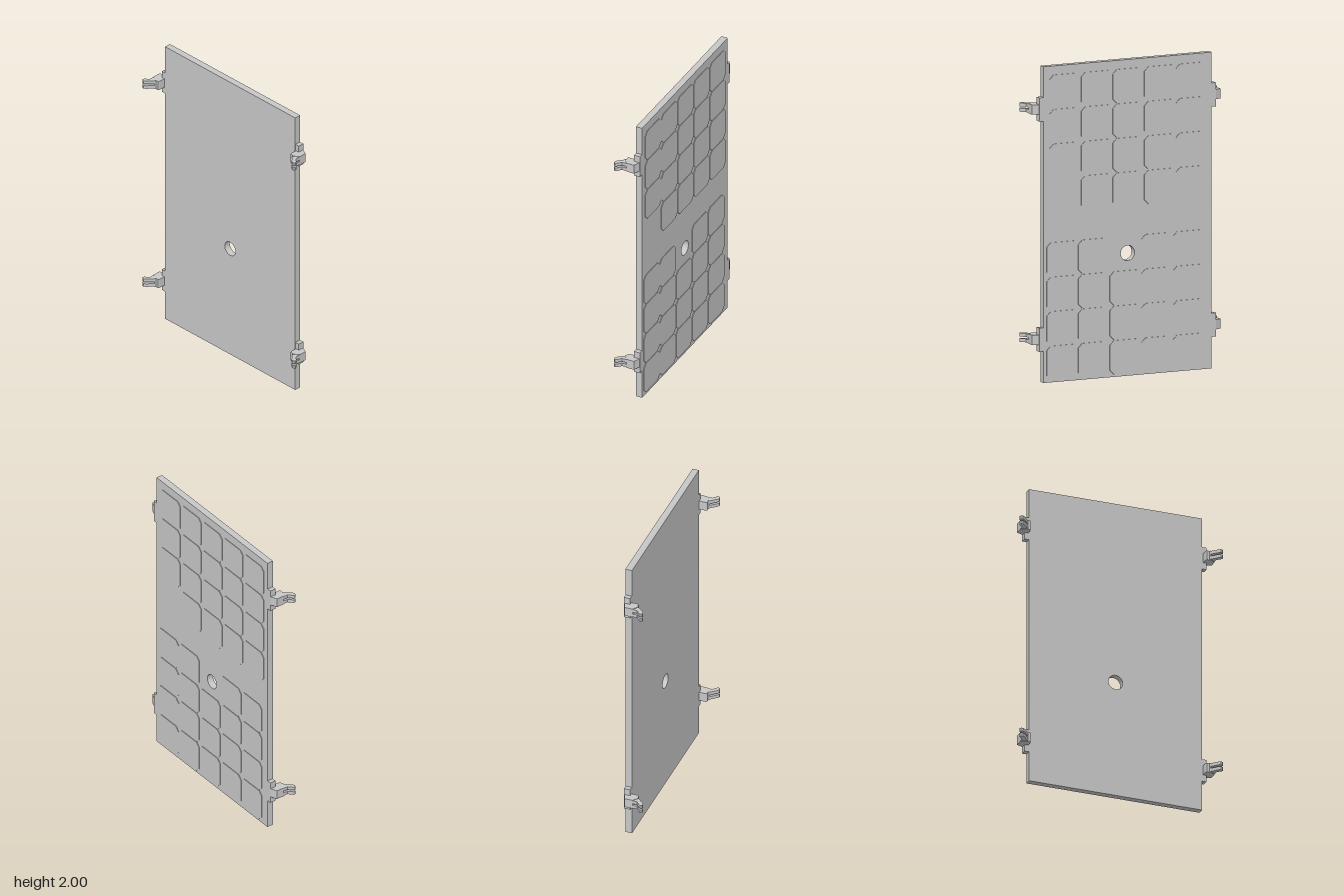
import * as THREE from 'three';

const FRONT = -0.03, BACK = -0.073;
const grey = new THREE.MeshStandardMaterial({ color: 0xc7c7c7 });
grey.name = 'lightGrey';

function add(parent, name, geometry) {
  const mesh = new THREE.Mesh(geometry, grey);
  mesh.name = name;
  parent.add(mesh);
  return mesh;
}

const shapeOf = (pts) => new THREE.Shape(pts.map(([x, y]) => new THREE.Vector2(x, y)));

// Plan outline (x, z) raised to a height centred on y
function slab(pts, side, y, height) {
  const g = new THREE.ExtrudeGeometry(shapeOf(pts.map(([x, z]) => [x * side, z])), { depth: height, bevelEnabled: false });
  return g.rotateX(Math.PI / 2).translate(0, y + height / 2, 0);
}

// Rectangle with cut corners, standing out from the back of the panel
function tile(x0, x1, y0, y1) {
  const c = 0.027, thick = 0.004;
  const s = shapeOf([[x0 + c, y0], [x1 - c, y0], [x1, y0 + c], [x1, y1 - c],
    [x1 - c, y1], [x0 + c, y1], [x0, y1 - c], [x0, y0 + c]]);
  return new THREE.ExtrudeGeometry(s, { depth: thick, bevelEnabled: false }).translate(0, 0, BACK - thick);
}

// Four rows of five tiles, with one place left empty
function addTiles(parent, name, left, top, emptyRow, emptyCol) {
  const group = new THREE.Group();
  group.name = name;
  const pitch = 0.218, gap = 0.005;
  for (let row = 0; row < 4; row++) {
    for (let col = 0; col < 5; col++) {
      if (row === emptyRow && col === emptyCol) continue;
      const x1 = left - col * pitch, y1 = top - row * pitch;
      add(group, 'backTile', tile(x1 - pitch + gap, x1, y1 - pitch + gap, y1));
    }
  }
  parent.add(group);
}

export function createModel() {
  const model = new THREE.Group();
  model.name = 'clipPanel';

  // Panel with a round hole
  const outline = shapeOf([[-0.58, 0], [0.58, 0], [0.58, 2], [-0.58, 2]]);
  const hole = new THREE.Path();
  hole.absarc(0, 0.776, 0.048, 0, Math.PI * 2, true);
  outline.holes.push(hole);
  add(model, 'panel', new THREE.ExtrudeGeometry(outline, { depth: FRONT - BACK, bevelEnabled: false, curveSegments: 24 })
    .translate(0, 0, BACK));

  // Shallow tiles on the back, leaving room around the hole
  addTiles(model, 'upperTiles', 0.54, 1.943, 3, 0);
  addTiles(model, 'lowerTiles', 0.56, 0.884, 0, 2);

  // Forked clips on both edges
  const arm = [[0.58, -0.072], [0.607, -0.07], [0.651, -0.052], [0.651, 0], [0.614, 0.028],
    [0.609, 0.021], [0.592, 0.021], [0.586, 0.012], [0.586, -0.031], [0.58, -0.031]];
  const prong = [[0.651, 0], [0.651, 0.031], [0.678, 0.056], [0.681, 0.064], [0.676, 0.074],
    [0.662, 0.077], [0.65, 0.069], [0.614, 0.028]];
  for (const side of [1, -1]) {
    for (const y of [1.73, 0.274]) {
      const clip = new THREE.Group();
      clip.name = side > 0 ? 'leftClip' : 'rightClip';
      const tab = new THREE.BoxGeometry(0.029, 0.15, FRONT - BACK - 0.002);
      add(clip, 'clipTab', tab.translate(side * 0.5945, y, (FRONT + BACK) / 2));
      add(clip, 'clipArm', slab(arm, side, y, 0.062));
      for (const k of [1, -1]) add(clip, 'clipProng', slab(prong, side, y + k * 0.017, 0.022));
      model.add(clip);
    }
  }
  return model;
}
